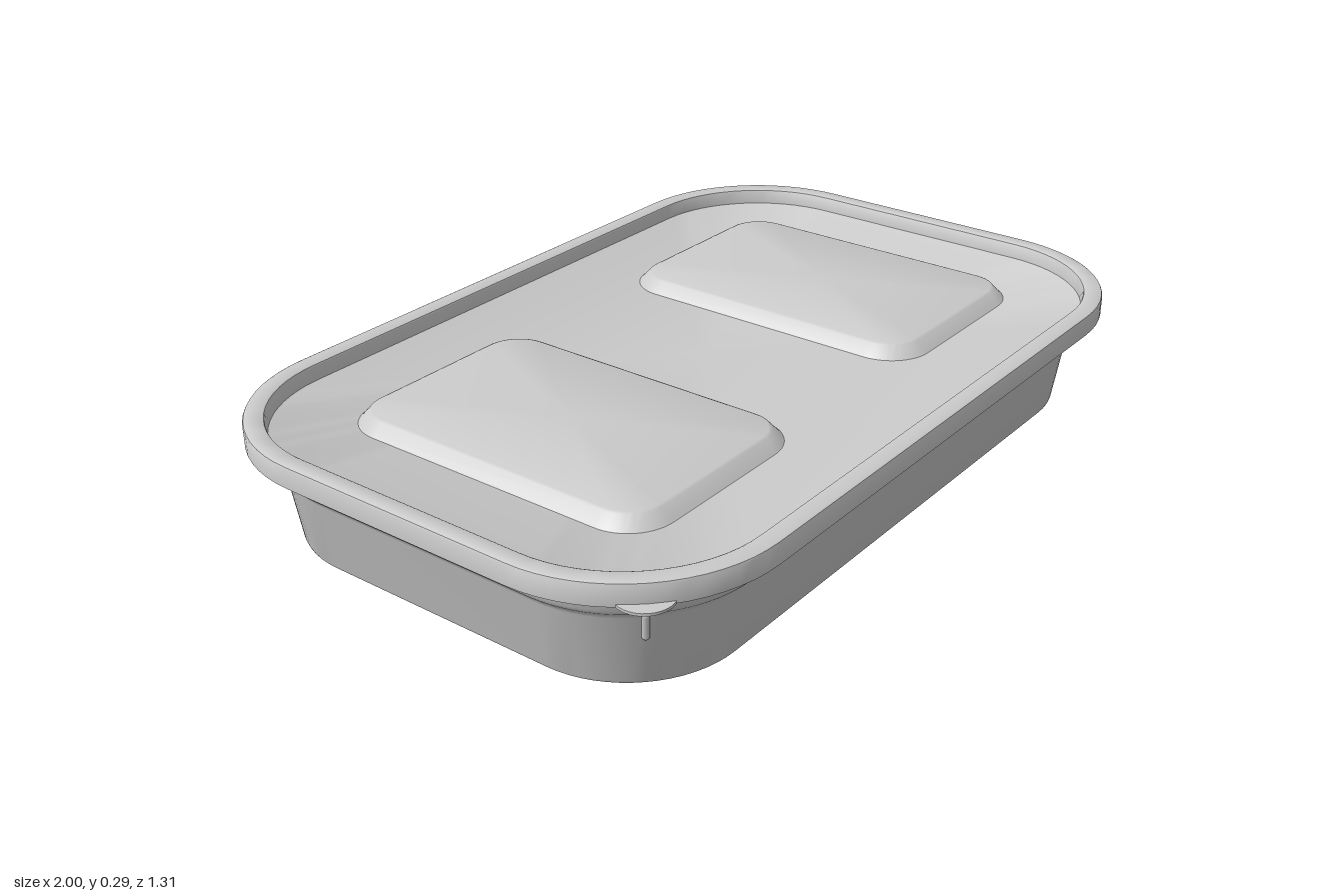
import * as THREE from 'three';
import { toCreasedNormals } from 'three/addons/utils/BufferGeometryUtils.js';

const material = new THREE.MeshStandardMaterial({ color: 0xcccccc, side: THREE.DoubleSide });
const CORE_X = 0.64, CORE_Z = 0.295; // corner arc centres shared by tub and lid

// Rounded-rectangle ring: a core rectangle outset by r; r = null collapses to the centre
function ring(r, y, coreX, coreZ, steps = 16) {
  const points = [];
  for (let c = 0; c < 4; c++) {
    const sx = c === 0 || c === 3 ? 1 : -1, sz = c < 2 ? 1 : -1;
    for (let i = 0; i <= steps; i++) {
      const a = (c + i / steps) * Math.PI / 2;
      points.push(r === null ? [0, y, 0]
        : [sx * coreX + r * Math.cos(a), y, sz * coreZ + r * Math.sin(a)]);
    }
  }
  return points;
}

// Joins rings along a profile of [outset, height] points
function loft(name, profile, coreX = CORE_X, coreZ = CORE_Z) {
  const rings = profile.map(([r, y]) => ring(r, y, coreX, coreZ));
  const positions = [];
  for (let k = 0; k < rings.length - 1; k++) {
    const a = rings[k], b = rings[k + 1], n = a.length;
    for (let i = 0; i < n; i++) {
      const j = (i + 1) % n;
      if (profile[k][0] !== null) positions.push(...a[i], ...b[i], ...a[j]);
      if (profile[k + 1][0] !== null) positions.push(...a[j], ...b[i], ...b[j]);
    }
  }
  const geometry = new THREE.BufferGeometry();
  geometry.setAttribute('position', new THREE.Float32BufferAttribute(positions, 3));
  const mesh = new THREE.Mesh(toCreasedNormals(geometry, 0.5), material);
  mesh.name = name;
  return mesh;
}

export function createModel() {
  const model = new THREE.Group();
  model.name = 'lidded food tray';

  // Tub: recessed base, tapered wall, stacking step and turned-out flange
  model.add(loft('tub', [
    [null, 0.02], [0.15, 0.02], [0.195, 0], [0.252, 0], [0.258, 0.003], [0.261, 0.01],
    [0.284, 0.165], [0.288, 0.174], [0.298, 0.183], [0.302, 0.192],
    [0.315, 0.25], [0.317, 0.272], [0.345, 0.272], [0.35, 0.26],
  ]));

  // Short vertical stacking ribs on the tub corners
  for (const sx of [-1, 1]) for (const sz of [-1, 1]) {
    const rib = new THREE.Mesh(new THREE.CapsuleGeometry(0.008, 0.05, 4, 10), material);
    const d = 0.28 * Math.SQRT1_2;
    rib.position.set(sx * (CORE_X + d), 0.145, sz * (CORE_Z + d));
    rib.rotation.set(sz * 0.1, 0, -sx * 0.1);
    rib.name = 'stackingRib';
    model.add(rib);
  }

  // Lid: hollow skirt, raised rim and sunken panel
  const lid = new THREE.Group();
  lid.name = 'lid';
  lid.add(loft('lidShell', [
    [0.325, 0.282], [0.35, 0.282], [0.354, 0.278], [0.355, 0.24],
    [0.36, 0.24], [0.36, 0.284], [0.358, 0.288], [0.354, 0.29],
    [0.32, 0.29], [0.316, 0.288], [0.314, 0.284], [0.311, 0.252], [0.307, 0.25], [null, 0.25],
  ]));

  // Two raised pads with bevelled edges
  for (const sx of [-1, 1]) {
    const pad = loft('raisedPad', [[0.11, 0.249], [0.105, 0.253], [0.083, 0.277],
      [0.076, 0.28], [null, 0.28]], 0.17, 0.305);
    pad.position.x = sx * 0.48;
    lid.add(pad);
  }

  // Small rounded pull tab under one front corner
  const tab = new THREE.Mesh(new THREE.CylinderGeometry(0.06, 0.06, 0.006, 32), material);
  tab.position.set(-0.878, 0.243, 0.525);
  tab.name = 'pullTab';
  lid.add(tab);

  model.add(lid);
  return model;
}
